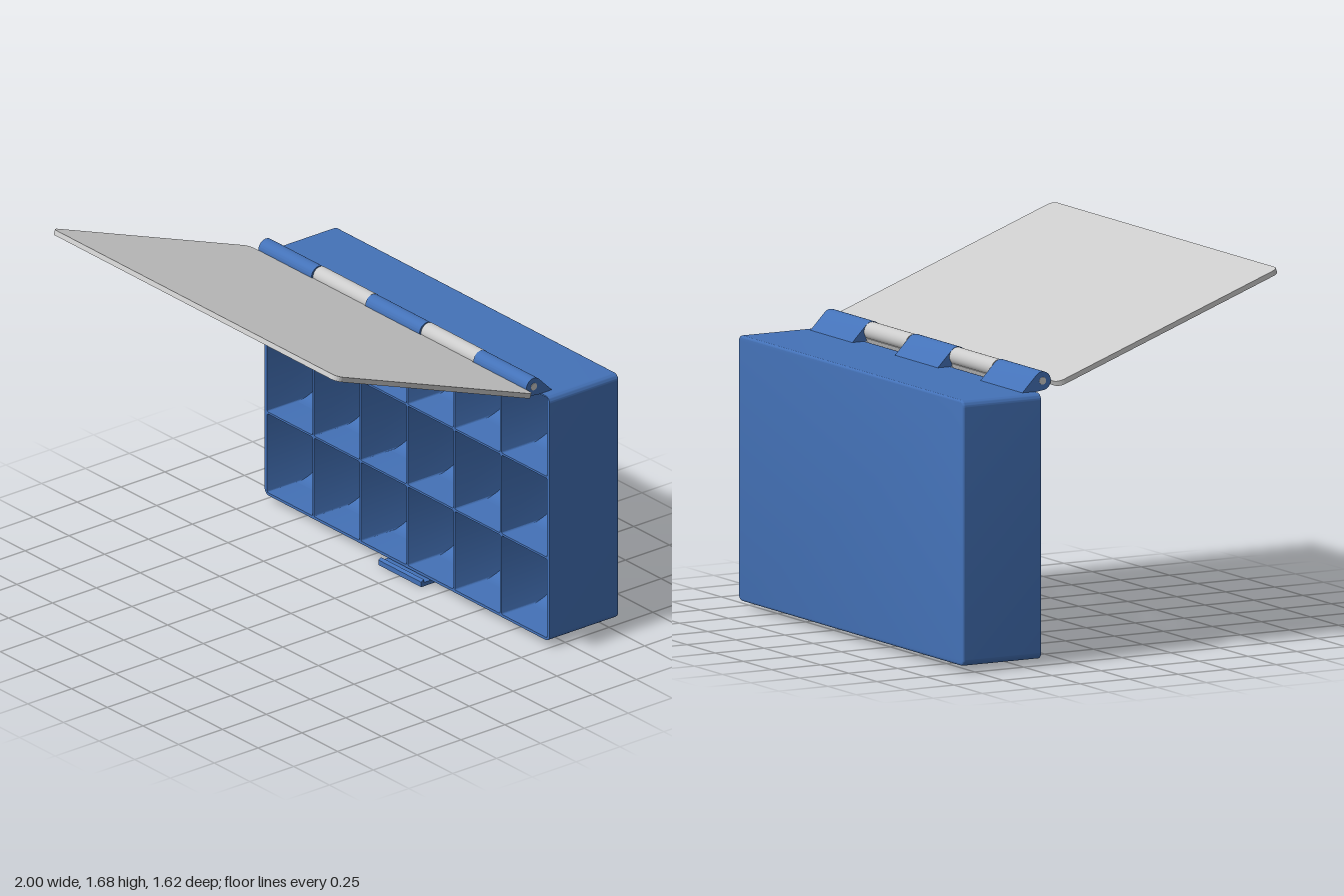
import * as THREE from 'three';
import { toCreasedNormals } from 'three/addons/utils/BufferGeometryUtils.js';

const blue = new THREE.MeshStandardMaterial({ color: 0x4472b8 });
const grey = new THREE.MeshStandardMaterial({ color: 0xcccccc });

function roundedRect(x0, y0, x1, y1, r, target = new THREE.Shape()) {
  target.absarc(x1 - r, y0 + r, r, -Math.PI / 2, 0);
  target.absarc(x1 - r, y1 - r, r, 0, Math.PI / 2);
  target.absarc(x0 + r, y1 - r, r, Math.PI / 2, Math.PI);
  target.absarc(x0 + r, y0 + r, r, Math.PI, Math.PI * 1.5);
  target.closePath();
  return target;
}

function extrude(shape, depth, options = {}) {
  const geo = new THREE.ExtrudeGeometry(shape, { depth, bevelEnabled: false, curveSegments: 16, ...options });
  return toCreasedNormals(geo, 0.5);
}

// Profile drawn in (-z, y), swept along x from x0 to x1
function alongX(shape, x0, x1) {
  return extrude(shape, x1 - x0).rotateY(Math.PI / 2).translate(x0, 0, 0);
}

function add(parent, name, geometry, material, x = 0, y = 0, z = 0) {
  const mesh = new THREE.Mesh(geometry, material);
  mesh.name = name;
  mesh.position.set(x, y, z);
  parent.add(mesh);
  return mesh;
}

function rod(radius, length) {
  return new THREE.CylinderGeometry(radius, radius, length, 32).rotateZ(Math.PI / 2);
}

const BOTTOM = 0.028, TOP = 1.22, FRONT = -0.412, FLOOR = -0.782;
const COLS = 6, ROWS = 3, PITCH_X = 0.329, PITCH_Y = 0.394, WALL = 0.01;
const CELL_Y = 0.041;
const HINGE_Y = 1.265, HINGE_Z = -0.37, KNUCKLE_R = 0.042;

function createTray() {
  const tray = new THREE.Group();
  tray.name = 'tray';

  // Outer frame and dividers in one extrusion with a hole per compartment
  const frame = roundedRect(-1, BOTTOM, 1, TOP, 0.03);
  for (let c = 0; c < COLS; c++) {
    for (let r = 0; r < ROWS; r++) {
      const x = (c - COLS / 2) * PITCH_X + WALL / 2;
      const y = CELL_Y + r * PITCH_Y;
      frame.holes.push(roundedRect(x, y, x + PITCH_X - WALL, y + PITCH_Y - WALL, 0.008, new THREE.Path()));
    }
  }
  add(tray, 'compartmentFrame', extrude(frame, FRONT + 0.798, { curveSegments: 6 }), blue, 0, 0, -0.798);

  // Back panel with softened edges
  const back = extrude(roundedRect(-1, BOTTOM, 1, TOP, 0.03), 0.006, {
    bevelEnabled: true, bevelThickness: 0.01, bevelSize: 0.01, bevelOffset: -0.01, bevelSegments: 4,
  });
  add(tray, 'backPanel', back, blue, 0, 0, -0.798);

  // Curved scoop along the lower back of each row
  const R = 0.2;
  for (let r = 0; r < ROWS; r++) {
    const y = CELL_Y + r * PITCH_Y, a = -FLOOR;
    const scoop = new THREE.Shape();
    scoop.moveTo(a - R, y);
    scoop.lineTo(a, y);
    scoop.lineTo(a, y + R);
    scoop.absarc(a - R, y + R, R, 0, -Math.PI / 2, true);
    add(tray, 'scoop', alongX(scoop, -0.985, 0.985), blue);
  }

  // Latch under the tray: plate, mount and hooked lip
  const latch = new THREE.Group();
  latch.name = 'latch';
  tray.add(latch);
  const profile = new THREE.Shape([
    [0.37, 0], [0.545, 0], [0.545, 0.03], [0.51, 0.03], [0.51, 0.018],
    [0.385, 0.018], [0.385, 0.033], [0.37, 0.024],
  ].map(p => new THREE.Vector2(...p)));
  add(latch, 'latchHook', alongX(profile, -0.15, 0.15), blue);

  // Fixed hinge knuckles with a sloped foot
  const knuckle = new THREE.Shape();
  knuckle.absarc(-HINGE_Z, HINGE_Y, KNUCKLE_R, Math.PI * 0.25, Math.PI * 1.478);
  knuckle.lineTo(0.41, TOP - 0.002);
  knuckle.lineTo(0.475, TOP - 0.002);
  knuckle.closePath();
  for (const [x0, x1] of [[-0.94, -0.568], [-0.19, 0.19], [0.568, 0.94]]) {
    add(tray, 'trayKnuckle', alongX(knuckle, x0, x1), blue);
  }
  return tray;
}

function createLid() {
  const lid = new THREE.Group();
  lid.name = 'lid';
  const T = 0.023, LENGTH = 1.2;

  // Flat panel, pivoting from its rear edge
  const panel = extrude(roundedRect(-1, 0, 1, LENGTH, 0.035), T).rotateX(Math.PI / 2);
  add(lid, 'lidPanel', panel, grey, 0, T / 2, 0);

  // Tabs joining the panel to its knuckles
  for (const side of [-1, 1]) {
    add(lid, 'lidTab', new THREE.BoxGeometry(0.37, T, 0.1), grey, side * 0.379, 0, -0.035);
    add(lid, 'lidKnuckle', rod(KNUCKLE_R - 0.001, 0.37), grey, side * 0.379, 0.029, -0.045);
  }
  lid.position.set(0, 1.253, -0.322);
  lid.rotation.x = -0.354;
  return lid;
}

export function createModel() {
  const model = new THREE.Group();
  model.name = 'compartmentBox';
  model.add(createTray(), createLid());
  add(model, 'hingePin', rod(0.017, 1.884), grey, 0, HINGE_Y, HINGE_Z);
  return model;
}
